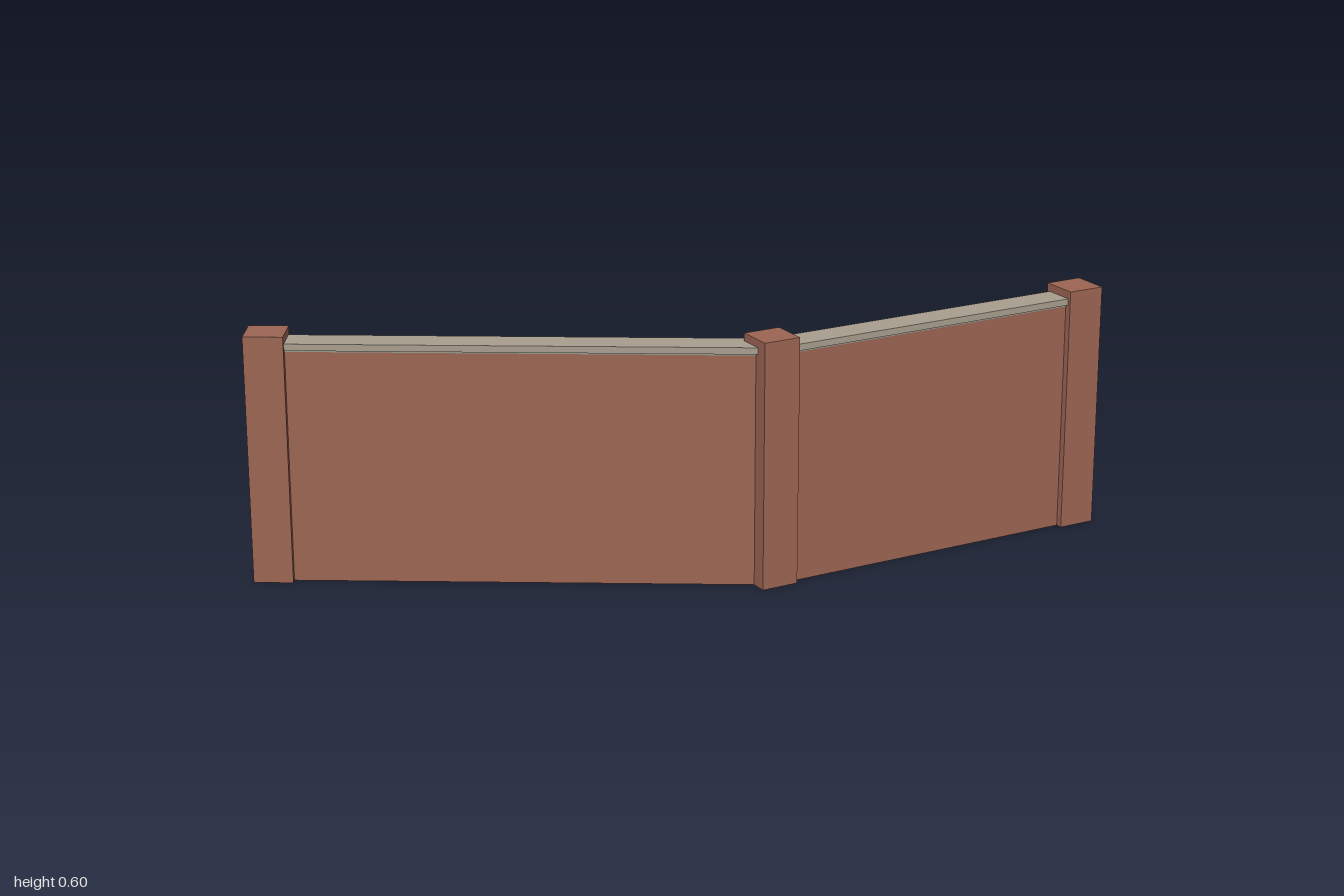
import * as THREE from 'three';

export function createModel() {
  const material = (name, color) => {
    const m = new THREE.MeshStandardMaterial({ color });
    m.name = name;
    return m;
  };
  const brick = material('red brick', 0x9c6553);
  const mortar = material('mortar grey', 0x929a8f);
  const stone = material('coping stone', 0xa89e8f);

  const model = new THREE.Group();
  model.name = 'angledBrickWall';

  const POST = 0.093;
  const POST_HEIGHT = 0.6;
  const turn = Math.atan2(0.438, 0.73);

  // A box standing on the given base height
  const block = (name, parent, length, bottom, top, depth, mat) => {
    const mesh = new THREE.Mesh(new THREE.BoxGeometry(length, top - bottom, depth), mat);
    mesh.name = name;
    mesh.position.y = (bottom + top) / 2;
    parent.add(mesh);
    return mesh;
  };

  // Square brick posts at the ends and the bend
  const posts = [
    { name: 'rightPost', x: -0.9535, z: 0.219, angle: 0 },
    { name: 'middlePost', x: 0.2065, z: 0.219, angle: turn },
    { name: 'leftPost', x: 0.9365, z: -0.219, angle: turn },
  ];
  for (const p of posts) {
    const mesh = block(p.name, model, POST, 0, POST_HEIGHT, POST, brick);
    mesh.position.x = p.x;
    mesh.position.z = p.z;
    mesh.rotation.y = p.angle;
  }

  // Wall runs between neighbouring posts: brickwork, mortar bed and coping
  ['rightWall', 'leftWall'].forEach((name, i) => {
    const a = posts[i], b = posts[i + 1];
    const length = Math.hypot(b.x - a.x, b.z - a.z);
    const run = new THREE.Group();
    run.name = name;
    run.position.set((a.x + b.x) / 2, 0, (a.z + b.z) / 2);
    run.rotation.y = Math.atan2(a.z - b.z, b.x - a.x);
    block('brickwork', run, length, 0, 0.56, 0.059, brick);
    block('mortarBed', run, length, 0.56, 0.565, 0.059, mortar);
    block('coping', run, length, 0.565, 0.581, 0.075, stone);
    model.add(run);
  });

  return model;
}
